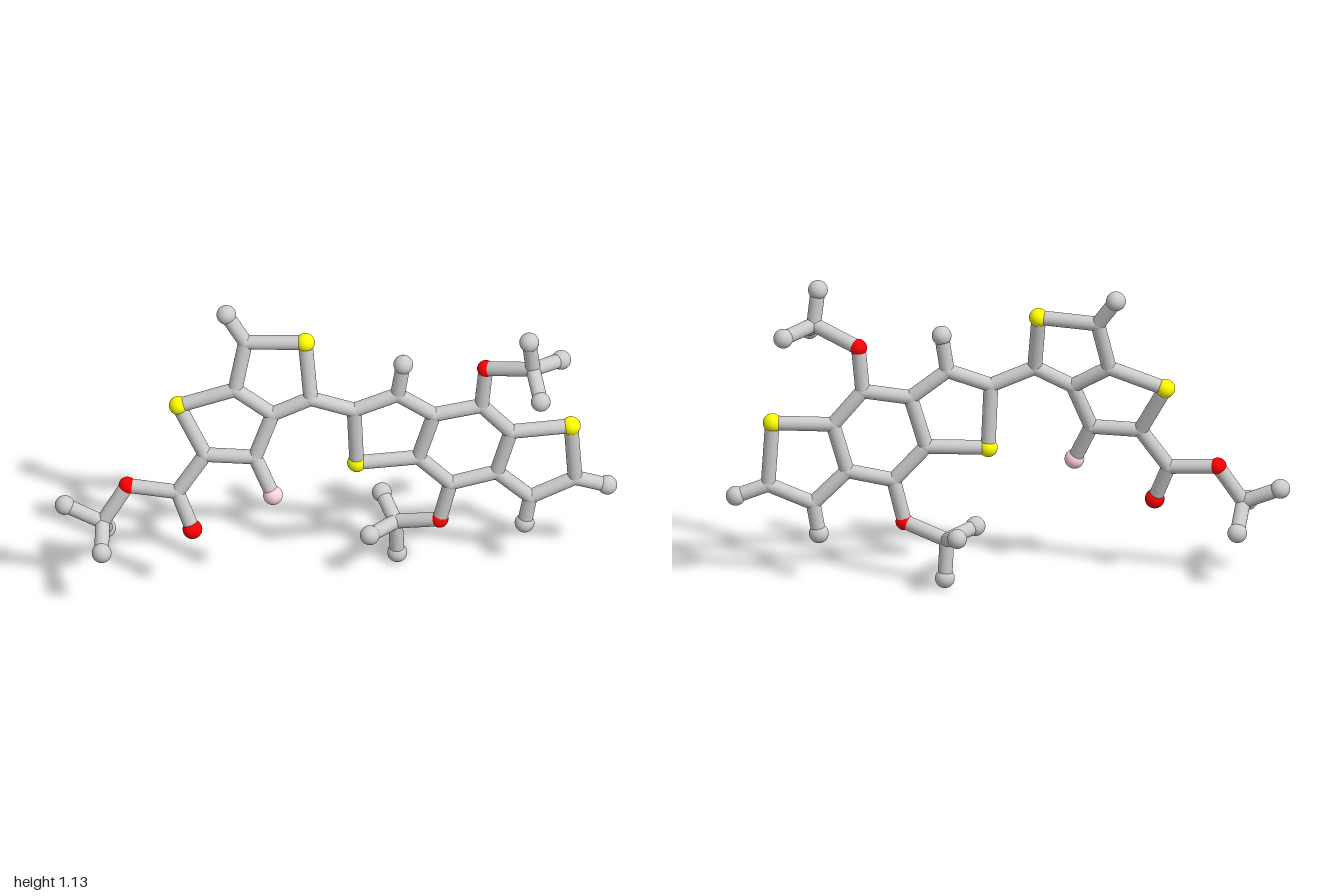
import * as THREE from 'three';

const BOND_R = 0.026;

// The two fused ring systems each lie in a slightly tilted plane
const leftPlane = (x, y) => -0.04 + 0.174 * (x + 0.11) - 0.224 * (y - 1.01);
const rightPlane = (x, y) => -0.03 * x + 0.03 * (y - 0.6);

// name: [kind, x, y, z]; without z the atom sits in its ring plane
const leftAtoms = {
  a1: ['carbon', -0.32, 1.0], a2: ['sulfur', -0.11, 1.01], a3: ['carbon', -0.095, 0.8],
  a4: ['carbon', -0.23, 0.735], a5: ['carbon', -0.36, 0.82], a6: ['sulfur', -0.56, 0.75],
  a7: ['carbon', -0.47, 0.57], a8: ['carbon', -0.295, 0.57], a9: ['fluorine', -0.235, 0.43],
  a10: ['hydrogen', -0.385, 1.1],
  // ester group
  e1: ['carbon', -0.57, 0.425], e2: ['oxygen', -0.52, 0.287], e3: ['etherOxygen', -0.745, 0.44],
  e4: ['carbon', -0.835, 0.3, -0.005], e5: ['hydrogen', -0.967, 0.36, -0.035],
  e6: ['hydrogen', -0.85, 0.255, 0.123], e7: ['hydrogen', -0.815, 0.212, -0.09],
};
const rightAtoms = {
  b1: ['carbon', 0.06, 0.735], b2: ['carbon', 0.215, 0.79], b3: ['carbon', 0.345, 0.69],
  b4: ['carbon', 0.29, 0.505], b5: ['sulfur', 0.07, 0.5], b6: ['carbon', 0.515, 0.715],
  b7: ['carbon', 0.62, 0.59], b8: ['carbon', 0.57, 0.415], b9: ['carbon', 0.405, 0.38],
  b10: ['sulfur', 0.835, 0.597], b11: ['carbon', 0.85, 0.365], b12: ['carbon', 0.69, 0.295],
  b13: ['hydrogen', 0.235, 0.922], b14: ['hydrogen', 0.965, 0.323], b15: ['hydrogen', 0.67, 0.18],
  // upper methoxy group
  m1: ['etherOxygen', 0.53, 0.878], m2: ['carbon', 0.69, 0.93, 0.083],
  m3: ['hydrogen', 0.675, 1.057, 0.096], m4: ['hydrogen', 0.707, 0.868, 0.197],
  m5: ['hydrogen', 0.797, 0.907, 0.003],
  // lower methoxy group
  n1: ['etherOxygen', 0.367, 0.223], n2: ['carbon', 0.215, 0.178, -0.085],
  n3: ['hydrogen', 0.222, 0.036, -0.094], n4: ['hydrogen', 0.115, 0.193, 0.013],
  n5: ['hydrogen', 0.177, 0.226, -0.198],
};

// Chains of bonded atoms
const chains = [
  'a1 a2 a3 a4 a5 a1 a10', 'a5 a6 a7 a8 a4', 'a8 a9', 'a7 e1 e2', 'e1 e3 e4 e5', 'e6 e4 e7',
  'a3 b1 b2 b3 b4 b5 b1', 'b2 b13', 'b3 b6 b7 b8 b9 b4', 'b7 b10 b11 b12 b8', 'b11 b14', 'b12 b15',
  'b6 m1 m2 m3', 'm4 m2 m5', 'b9 n1 n2 n3', 'n4 n2 n5',
];

const kinds = {
  carbon: [0.027, 0xcccccc], hydrogen: [0.035, 0xcccccc], sulfur: [0.034, 0xffff00],
  oxygen: [0.035, 0xff0000], etherOxygen: [0.031, 0xff0000], fluorine: [0.035, 0xffd5da],
};

export function createModel() {
  const model = new THREE.Group();
  const atoms = new THREE.Group();
  const bonds = new THREE.Group();
  atoms.name = 'atoms';
  bonds.name = 'bonds';
  model.add(atoms, bonds);

  const grey = new THREE.MeshStandardMaterial({ color: 0xcccccc });
  const parts = {};
  for (const [kind, [radius, color]] of Object.entries(kinds)) {
    parts[kind] = {
      geometry: new THREE.SphereGeometry(radius, 32, 20),
      material: color === 0xcccccc ? grey : new THREE.MeshStandardMaterial({ color }),
    };
  }

  // Atoms
  const at = {};
  for (const [table, plane] of [[leftAtoms, leftPlane], [rightAtoms, rightPlane]]) {
    for (const [id, [kind, x, y, z = plane(x, y)]] of Object.entries(table)) {
      at[id] = new THREE.Vector3(x, y, z);
      const mesh = new THREE.Mesh(parts[kind].geometry, parts[kind].material);
      mesh.name = kind + 'Atom';
      mesh.position.copy(at[id]);
      atoms.add(mesh);
    }
  }

  // Bonds: one cylinder between each pair of neighbours in a chain
  const up = new THREE.Vector3(0, 1, 0);
  for (const chain of chains) {
    const ids = chain.split(' ');
    for (let i = 1; i < ids.length; i++) {
      const from = at[ids[i - 1]], to = at[ids[i]];
      const dir = to.clone().sub(from);
      const mesh = new THREE.Mesh(new THREE.CylinderGeometry(BOND_R, BOND_R, dir.length(), 24), grey);
      mesh.name = 'bond';
      mesh.position.lerpVectors(from, to, 0.5);
      mesh.quaternion.setFromUnitVectors(up, dir.normalize());
      bonds.add(mesh);
    }
  }
  return model;
}
